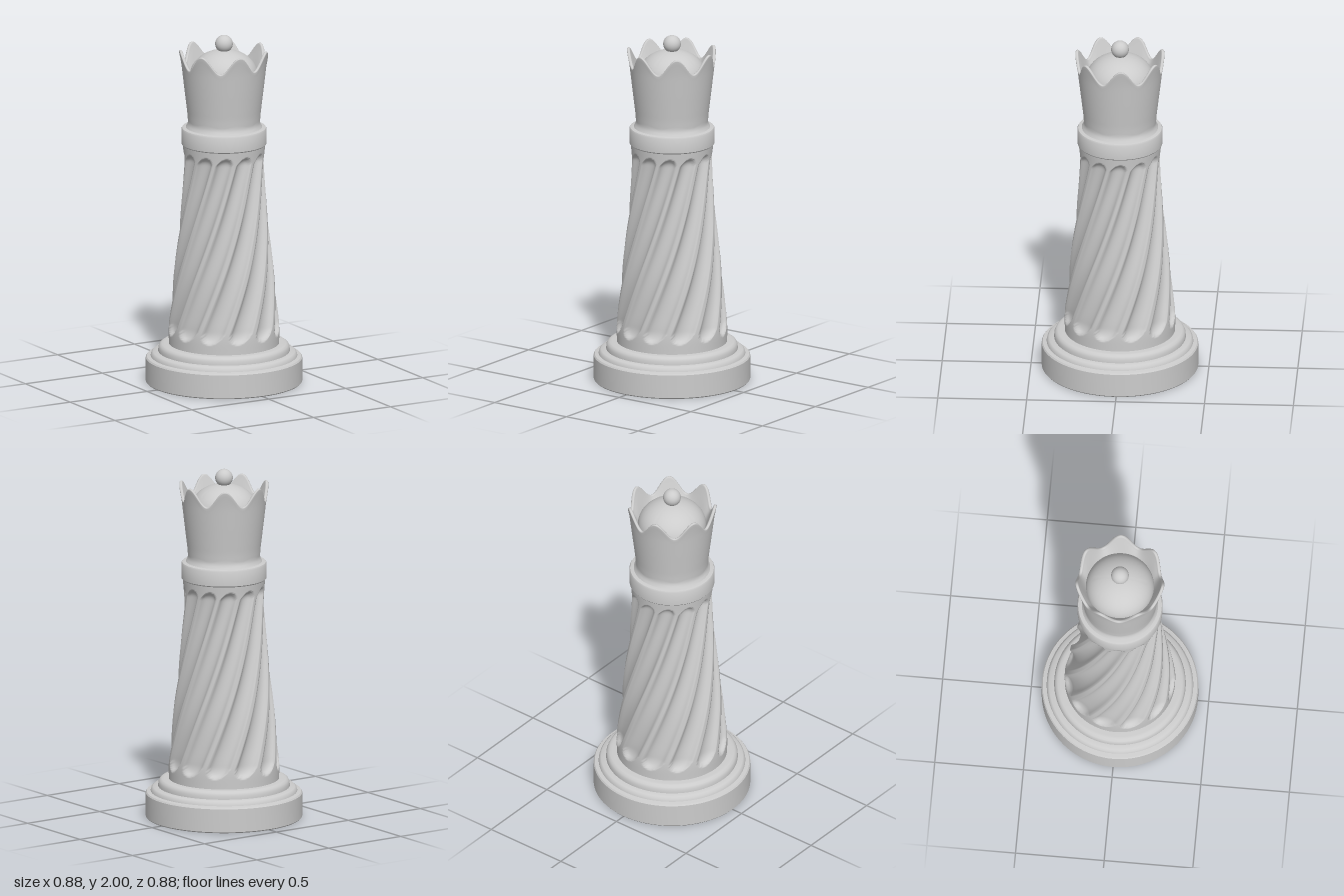
import * as THREE from 'three';
import { toCreasedNormals } from 'three/addons/utils/BufferGeometryUtils.js';

const mat = new THREE.MeshStandardMaterial({ color: 0xcccccc, side: THREE.DoubleSide });
const rad = THREE.MathUtils.degToRad;
const lerp = THREE.MathUtils.lerp;

// Closed ring surface: at(u, v) gives [angle, radius, y], with u running round and v up
function ringSurface(cols, rows, at) {
  const pos = [], idx = [];
  for (let j = 0; j <= rows; j++) {
    for (let i = 0; i < cols; i++) {
      const [a, r, y] = at(i / cols, j / rows);
      pos.push(r * Math.sin(a), y, r * Math.cos(a));
      if (j < rows) {
        const p = j * cols + i, q = j * cols + (i + 1) % cols;
        idx.push(p, q, q + cols, p, q + cols, p + cols);
      }
    }
  }
  const g = new THREE.BufferGeometry();
  g.setAttribute('position', new THREE.Float32BufferAttribute(pos, 3));
  g.setIndex(idx);
  g.computeVertexNormals();
  return g;
}

// Linear reading of a [y, radius] profile
function radiusAt(profile, y) {
  for (let i = 1; i < profile.length; i++) {
    const [y0, r0] = profile[i - 1], [y1, r1] = profile[i];
    if (y <= y1) return lerp(r0, r1, (y - y0) / (y1 - y0));
  }
  return profile[profile.length - 1][1];
}

function turned(points) {
  const g = new THREE.LatheGeometry(points.map(([r, y]) => new THREE.Vector2(r, y)), 96);
  return toCreasedNormals(g, rad(35));
}

// Column with twelve spiral flutes that have rounded ends
function columnGeometry() {
  const curve = new THREE.CatmullRomCurve3([
    [0.31, 0.215], [0.31, 0.32], [0.298, 0.45], [0.282, 0.62], [0.26, 0.82],
    [0.24, 1.02], [0.228, 1.18], [0.226, 1.29], [0.232, 1.375],
  ].map(([r, y]) => new THREE.Vector3(r, y, 0)));
  const profile = curve.getPoints(80).map((p) => [p.y, p.x]);
  const flutes = 12, pitch = 2 * Math.PI / flutes;
  const low = 0.345, high = 1.285, depth = 0.034;
  return ringSurface(flutes * 20, 100, (u, v) => {
    const y = lerp(0.215, 1.375, 0.5 * v + 0.5 * (0.5 - 0.5 * Math.cos(Math.PI * v)));
    const r = radiusAt(profile, y);
    const turn = THREE.MathUtils.clamp((y - 0.29) / 1.04, 0, 1);
    const a = u * 2 * Math.PI;
    const off = (a / pitch - Math.round(a / pitch)) * pitch * r;
    const end = Math.max(0, low - y, y - high);
    const d = Math.hypot(off, end) / (r * 0.195);
    const cut = d < 1 ? depth * Math.sqrt(1 - d * d) : 0;
    return [a + rad(15) + rad(78) * turn, r - cut, y];
  });
}

// Crown wall with seven points: outside, rounded rim, then inside
function crownGeometry() {
  const phase = rad(-9);
  const outer = [[1.46, 0.222], [1.475, 0.212], [1.495, 0.202], [1.55, 0.206],
    [1.7, 0.224], [1.83, 0.239], [1.93, 0.256]];
  return ringSurface(168, 36, (u, v) => {
    const a = u * 2 * Math.PI;
    const top = 1.874 + 0.048 * Math.cos(7 * (a - phase));
    const rim = radiusAt(outer, top), half = 0.009;
    if (v < 0.6) {
      const y = lerp(1.46, top - half, Math.pow(v / 0.6, 1.4));
      return [a, radiusAt(outer, y), y];
    }
    if (v < 0.8) {
      const t = Math.PI * (v - 0.6) / 0.2;
      return [a, rim - half + half * Math.cos(t), top - half + half * Math.sin(t)];
    }
    const t = (v - 0.8) / 0.2;
    return [a, lerp(rim - 2 * half, 0.188, t), lerp(top - half, 1.765, t)];
  });
}

export function createModel() {
  const group = new THREE.Group();
  const add = (name, geometry) => {
    const mesh = new THREE.Mesh(geometry, mat);
    mesh.name = name;
    group.add(mesh);
    return mesh;
  };

  // Stepped round foot
  add('base', turned([
    [0, 0], [0.435, 0], [0.44, 0.006], [0.44, 0.138], [0.434, 0.146], [0.412, 0.15],
    [0.408, 0.165], [0.398, 0.174], [0.37, 0.178], [0.369, 0.198], [0.362, 0.213],
    [0.35, 0.221], [0.335, 0.223], [0, 0.223],
  ]));

  add('flutedColumn', columnGeometry());

  // Band between column and crown
  add('collar', turned([
    [0, 1.37], [0.234, 1.37], [0.239, 1.376], [0.24, 1.458], [0.235, 1.467], [0.222, 1.471], [0, 1.471],
  ]));

  add('crown', crownGeometry());

  // Domed cap inside the crown
  const dome = [];
  for (let i = 0; i <= 16; i++) {
    const t = i / 16 * Math.PI / 2;
    dome.push([0.192 * Math.cos(t), 1.765 + 0.15 * Math.sin(t)]);
  }
  add('dome', turned(dome));

  add('finial', new THREE.SphereGeometry(0.05, 32, 24)).position.y = 1.95;

  return group;
}
